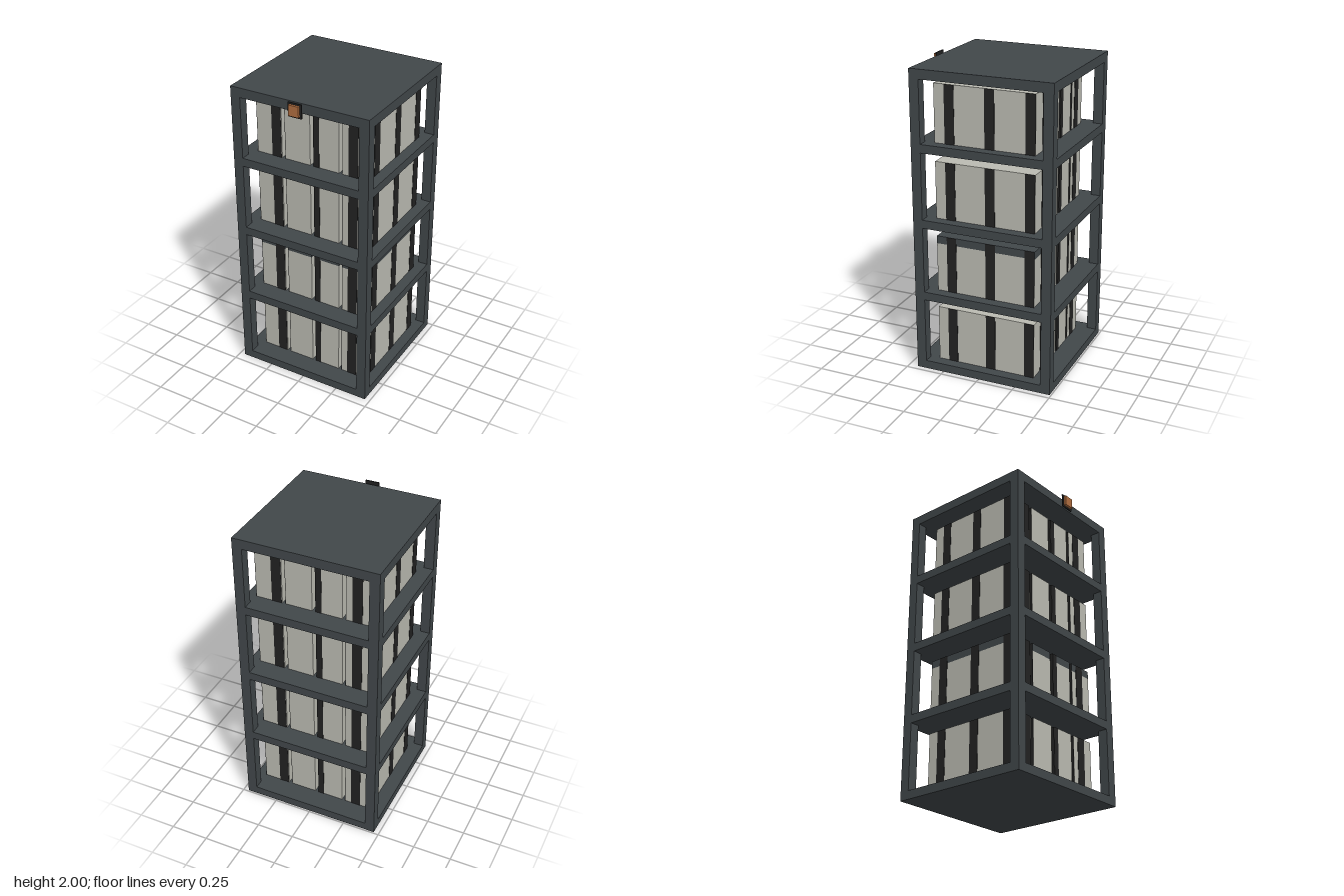
import * as THREE from 'three';

const paint = (name, color) => {
  const m = new THREE.MeshStandardMaterial({ color });
  m.name = name;
  return m;
};

export function createModel() {
  const slate = paint('slate frame', 0x41474a);
  const grey = paint('warm grey casing', 0xbbbbb2);
  const black = paint('black stripe', 0x222222);
  const copper = paint('copper', 0xb06e40);

  const rack = new THREE.Group();
  rack.name = 'batteryRack';

  // Box given by its lower and upper limits on each axis
  const box = (parent, name, mat, x0, x1, y0, y1, z0, z1) => {
    const mesh = new THREE.Mesh(new THREE.BoxGeometry(x1 - x0, y1 - y0, z1 - z0), mat);
    mesh.position.set((x0 + x1) / 2, (y0 + y1) / 2, (z0 + z1) / 2);
    mesh.name = name;
    parent.add(mesh);
  };

  // Frame: four posts and five full-depth shelves
  const X = 0.465, ZB = -0.49, ZF = 0.438, POST = 0.064, TOP = 1.992;
  const PITCH = 0.491, SLAB = 0.055;
  for (const x of [-X, X - POST])
    for (const z of [ZB, ZF - POST])
      box(rack, 'post', slate, x, x + POST, SLAB, 1.93, z, z + POST);
  for (let i = 0; i < 4; i++)
    box(rack, 'shelf', slate, -X, X, i * PITCH, i * PITCH + SLAB, ZB, ZF);
  box(rack, 'roof', slate, -X, X, 1.93, TOP, ZB, ZF);

  // Cell block dimensions
  const x0 = -0.372, width = 0.174, step = 0.198, z0 = -0.353, z1 = 0.31;
  const x1 = x0 + 3 * step + width;
  const HEIGHT = 0.372, BAND = 0.05, SKIN = 0.002;

  // Stripe starts, measured from the left edge of each face as it is looked at
  const STRIPE = 0.065;
  const wideStripes = [0.105, 0.37, 0.635];
  const deepStripes = [0.069, 0.334, 0.598];

  for (let row = 0; row < 4; row++) {
    const tier = new THREE.Group();
    tier.name = 'cellTier';
    rack.add(tier);
    const y0 = row * PITCH + SLAB, y1 = y0 + HEIGHT;
    const banded = row === 1;

    for (let k = 0; k < 4; k++) {
      const a = x0 + k * step, b = a + width;
      const bodyTop = banded ? y1 - BAND : y1;
      box(tier, 'cell', grey, a, b, y0, bodyTop, z0, z1);
      if (banded) box(tier, 'cellBand', slate, a, b, bodyTop, y1, z0, z1);

      // Front and back stripes, cut where they cross the gaps between cells
      for (const u of wideStripes) {
        for (const front of [true, false]) {
          const left = front ? x0 + u : x1 - u - STRIPE;
          const s = Math.max(left, a), e = Math.min(left + STRIPE, b);
          if (e - s < 0.005) continue;
          const z = front ? z1 : z0 - SKIN;
          box(tier, front ? 'frontStripe' : 'backStripe', black, s, e, y0, y1, z, z + SKIN);
        }
      }
      // Side stripes
      for (const u of deepStripes) {
        const r = z1 - u - STRIPE, l = z0 + u;
        box(tier, 'leftStripe', black, b, b + SKIN, y0, y1, r, r + STRIPE);
        box(tier, 'rightStripe', black, a - SKIN, a, y0, y1, l, l + STRIPE);
      }
    }

    // Copper bars bridging neighbouring cells
    for (let k = 0; k < 3; k++) {
      const c = -0.174 + k * step;
      box(tier, 'busBar', copper, c - 0.065, c + 0.065, y1, y1 + 0.026, 0.045, 0.109);
    }
  }

  // Indicator plate in front of the roof edge
  box(rack, 'indicatorPlate', black, -0.046, 0.046, 1.91, 2, 0.464, 0.472);
  box(rack, 'indicatorFace', copper, -0.034, 0.034, 1.922, 1.99, 0.472, 0.488);

  return rack;
}
